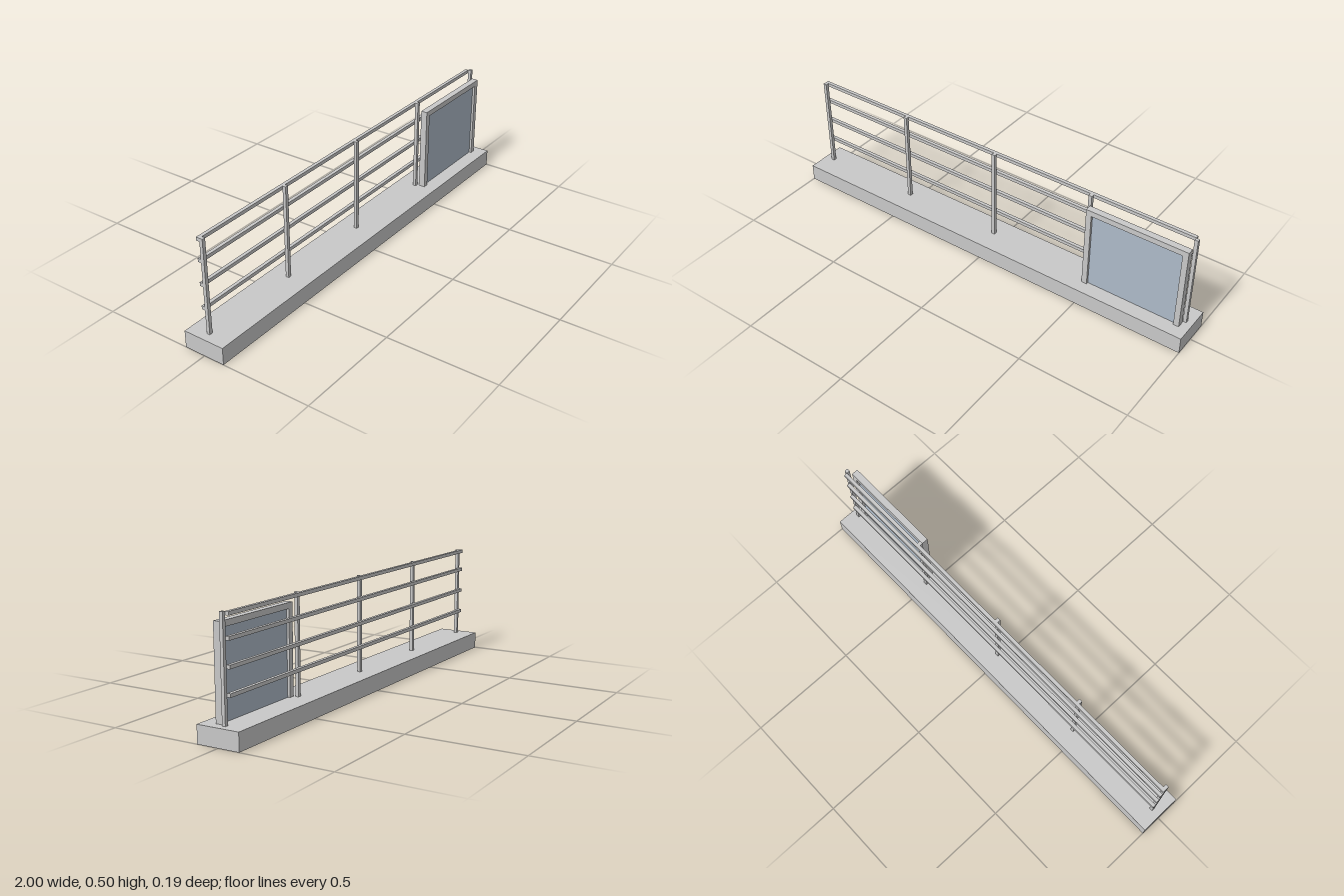
import * as THREE from 'three';

const concrete = new THREE.MeshStandardMaterial({ name: 'light grey', color: 0xc8c8c8 });
const glass = new THREE.MeshStandardMaterial({ name: 'blue grey glass', color: 0xadbac8 });

// Box given by its minimum and maximum corners
function box(name, material, [x0, y0, z0], [x1, y1, z1]) {
  const mesh = new THREE.Mesh(new THREE.BoxGeometry(x1 - x0, y1 - y0, z1 - z0), material);
  mesh.position.set((x0 + x1) / 2, (y0 + y1) / 2, (z0 + z1) / 2);
  mesh.name = name;
  return mesh;
}

export function createModel() {
  const model = new THREE.Group();
  model.name = 'railing';
  const floor = 0.077, top = 0.503, bar = 0.0155;

  // Plinth
  model.add(box('plinth', concrete, [-1, 0, -0.096], [1, floor, 0.096]));

  // Upright posts
  const posts = new THREE.Group();
  posts.name = 'posts';
  for (const x of [-0.963, -0.482, 0, 0.481, 0.957]) {
    posts.add(box('post', concrete, [x, floor, -0.015], [x + bar, top, 0]));
  }

  // Horizontal rails fixed behind the posts
  const rails = new THREE.Group();
  rails.name = 'rails';
  for (const y of [0.184, 0.29, 0.396, top - bar]) {
    rails.add(box('rail', concrete, [-0.963, y, -0.0305], [0.957, y + bar, -0.015]));
  }

  // Framed panel, open at the bottom, standing in front of the last bay
  const left = 0.497, right = 0.959, height = 0.463, rim = 0.025;
  const shape = new THREE.Shape([
    [left, floor], [left + rim, floor], [left + rim, height - rim], [right - rim, height - rim],
    [right - rim, floor], [right, floor], [right, height], [left, height],
  ].map(([x, y]) => new THREE.Vector2(x, y)));
  const frame = new THREE.Mesh(
    new THREE.ExtrudeGeometry(shape, { depth: 0.03, bevelEnabled: false }), concrete);
  frame.position.z = 0.009;
  frame.name = 'panelFrame';
  const pane = box('pane', glass,
    [left + rim, floor, 0.02], [right - rim, height - rim, 0.028]);
  const panel = new THREE.Group();
  panel.name = 'panel';
  panel.add(frame, pane);

  model.add(posts, rails, panel);
  return model;
}
